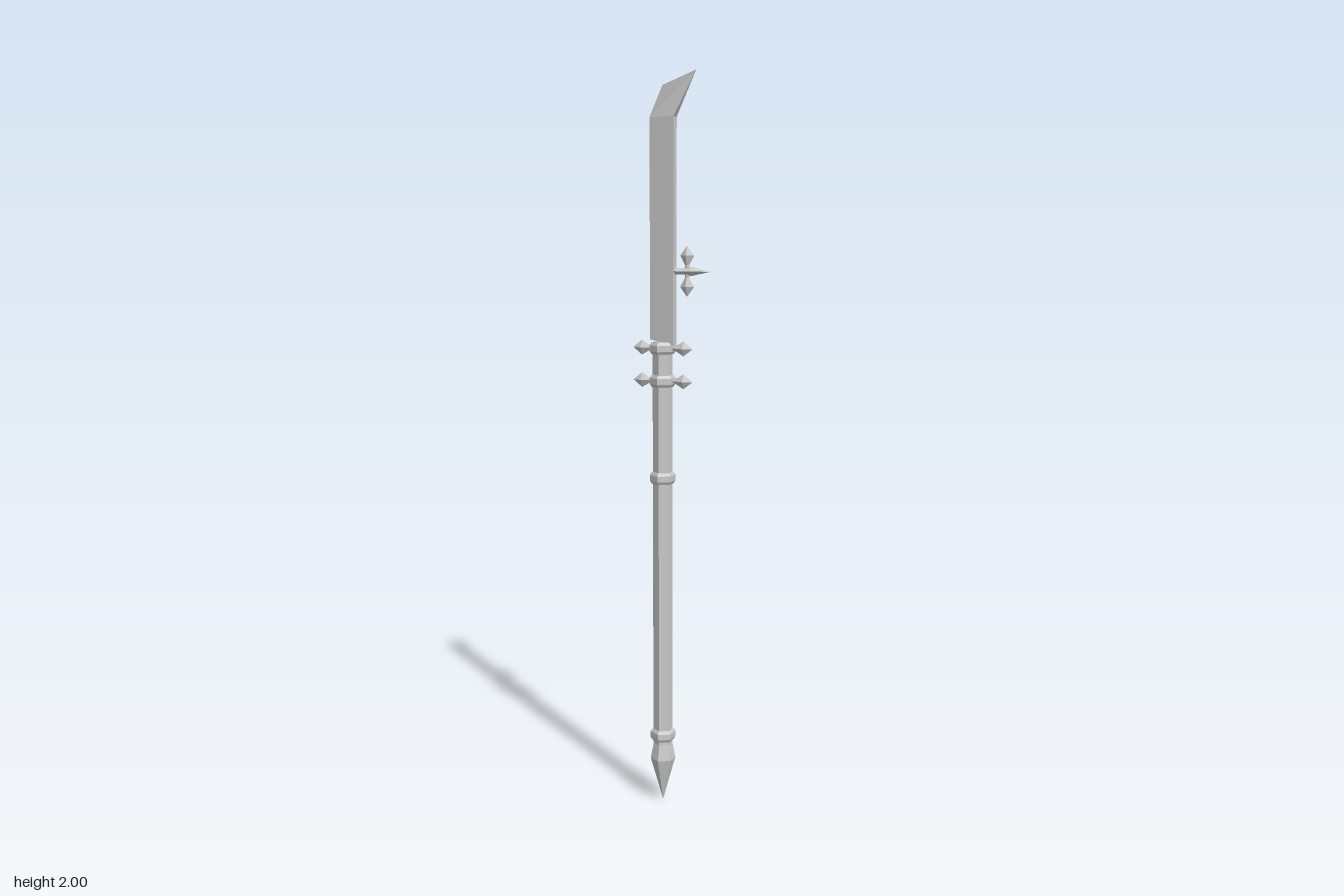
import * as THREE from 'three';

const AXIS = -0.026; // x of the shaft's centre line
const metal = new THREE.MeshStandardMaterial({ color: 0xcccccc, flatShading: true, side: THREE.DoubleSide });

// Faceted solid turned around y from [radius, height] pairs
function turned(name, profile, sides) {
  const points = profile.map(([r, y]) => new THREE.Vector2(r, y));
  const mesh = new THREE.Mesh(new THREE.LatheGeometry(points, sides), metal);
  mesh.name = name;
  return mesh;
}

// Four-sided pointed ornament growing along its own +y, flattened in z
function leaf(name, x, y, angle) {
  const mesh = turned(name, [[0, 0], [0.007, 0.004], [0.006, 0.016], [0.02, 0.041], [0, 0.067]], 4);
  mesh.scale.z = 0.5;
  mesh.position.set(x, y, 0);
  mesh.rotation.z = angle;
  return mesh;
}

// Wedge blade: sharp at -x, flat spine at +x, lofted through triangular sections
function blade() {
  const sections = [ // edge x, edge y, spine x, spine y, half thickness
    [-0.063, 1.305, 0.01, 1.29, 0.011],
    [-0.063, 1.885, 0.01, 1.885, 0.011],
    [-0.026, 1.965, 0.069, 2.0, 0.0005],
  ];
  const positions = [];
  for (const [ex, ey, sx, sy, t] of sections) positions.push(ex, ey, 0, sx, sy, t, sx, sy, -t);
  const index = [0, 2, 1];
  for (let s = 0; s < sections.length - 1; s++) {
    for (let i = 0; i < 3; i++) {
      const a = s * 3 + i, b = s * 3 + (i + 1) % 3;
      index.push(a, b, b + 3, a, b + 3, a + 3);
    }
  }
  const top = (sections.length - 1) * 3;
  index.push(top, top + 1, top + 2);
  const geometry = new THREE.BufferGeometry();
  geometry.setAttribute('position', new THREE.Float32BufferAttribute(positions, 3));
  geometry.setIndex(index);
  geometry.computeVertexNormals();
  const mesh = new THREE.Mesh(geometry, metal);
  mesh.name = 'blade';
  return mesh;
}

export function createModel() {
  const model = new THREE.Group();
  model.name = 'glaive';

  // Hexagonal shaft and pointed butt spike
  const shaft = turned('shaft', [[0, 0.17], [0.027, 0.17], [0.027, 1.3], [0, 1.3]], 6);
  const butt = turned('buttSpike', [[0, 0], [0.035, 0.125], [0.022, 0.19], [0, 0.19]], 6);
  for (const part of [shaft, butt]) {
    part.position.x = AXIS;
    model.add(part);
  }

  // Bevelled rings along the shaft
  for (const y of [0.195, 0.93, 1.195, 1.283]) {
    const ring = turned('ring', [[0.025, -0.016], [0.03, -0.016], [0.035, -0.008],
      [0.035, 0.008], [0.03, 0.016], [0.025, 0.016]], 6);
    ring.position.set(AXIS, y, 0);
    model.add(ring);
  }

  // Pairs of leaves on the two upper rings
  for (const y of [1.195, 1.283]) {
    for (const side of [-1, 1]) {
      model.add(leaf('guardLeaf', AXIS + side * 0.02, y, -side * Math.PI / 2));
    }
  }

  model.add(blade());

  // Cross ornament on the spine: a spike with a leaf above and below
  const cross = new THREE.Group();
  cross.name = 'spineCross';
  const spike = turned('spike', [[0, 0], [0.009, 0], [0.008, 0.03], [0.012, 0.057], [0, 0.112]], 4);
  spike.position.set(0, 1.488, 0);
  spike.rotation.z = -Math.PI / 2;
  cross.add(spike, leaf('upperLeaf', 0.045, 1.488, 0), leaf('lowerLeaf', 0.045, 1.488, Math.PI));
  model.add(cross);

  return model;
}
